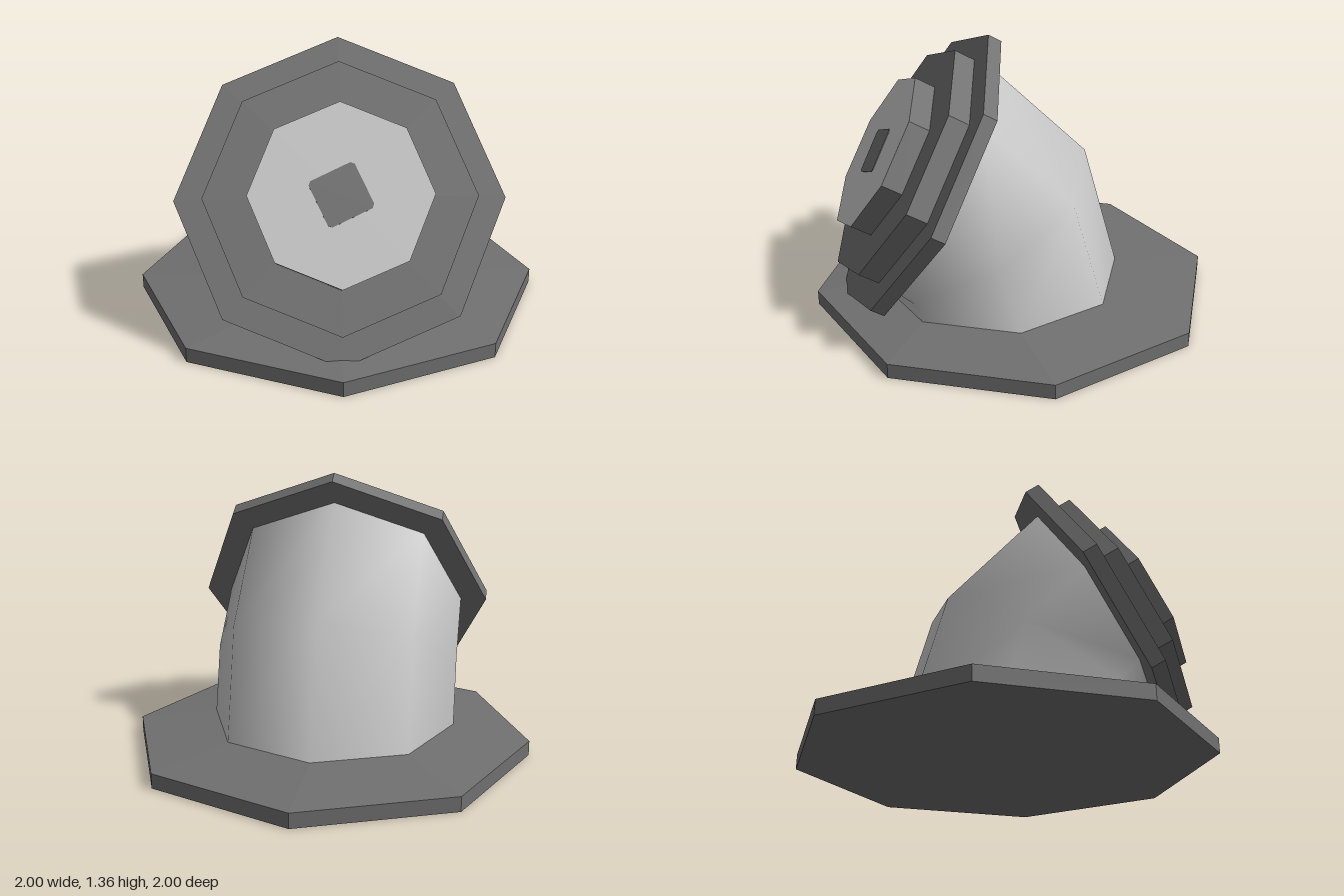
import * as THREE from 'three';

const SIDES = 8;

// Skin of octagonal rings, each { r, y, z, tilt }, from bottom to top
function loft(rings) {
  const pos = [], index = [];
  rings.forEach(({ r, y, z, tilt = 0 }, k) => {
    for (let i = 0; i < SIDES; i++) {
      const a = (i / SIDES) * Math.PI * 2, f = r * Math.cos(a);
      pos.push(r * Math.sin(a), y - f * Math.sin(tilt), z + f * Math.cos(tilt));
      if (k === 0) continue;
      const j = (i + 1) % SIDES, lo = (k - 1) * SIDES, hi = k * SIDES;
      index.push(lo + i, lo + j, hi + j, lo + i, hi + j, hi + i);
    }
  });
  const g = new THREE.BufferGeometry();
  g.setAttribute('position', new THREE.Float32BufferAttribute(pos, 3));
  g.setIndex(index);
  g.computeVertexNormals();
  return g;
}

// Facets with hard edges
function faceted(geometry) {
  const g = geometry.index ? geometry.toNonIndexed() : geometry;
  g.computeVertexNormals();
  return g;
}

export function createModel() {
  const dark = new THREE.MeshStandardMaterial({ color: 0x707070 });
  dark.name = 'darkGrey';
  const light = new THREE.MeshStandardMaterial({ color: 0xc8c8c8 });
  light.name = 'lightGrey';

  const model = new THREE.Group();
  model.name = 'angledPipeFitting';
  const add = (parent, name, geometry, material) => {
    const mesh = new THREE.Mesh(geometry, material);
    mesh.name = name;
    parent.add(mesh);
    return mesh;
  };

  // Base plate, rising slightly towards the pipe
  add(model, 'basePlate', faceted(loft([
    { r: 0, y: 0, z: 0 },
    { r: 1, y: 0, z: 0 },
    { r: 1, y: 0.073, z: 0 },
    { r: 0.62, y: 0.108, z: 0.08 },
    { r: 0, y: 0.108, z: 0.08 },
  ])), dark);

  // Elbow pipe bending forward
  const deg = Math.PI / 180;
  add(model, 'elbowPipe', loft([
    { r: 0.62, y: 0.107, z: 0.08 },
    { r: 0.62, y: 0.43, z: 0.177, tilt: 30 * deg },
    { r: 0.62, y: 0.678, z: 0.437, tilt: 60 * deg },
  ]), light);

  // Stepped head, local y pointing out of the pipe
  const head = new THREE.Group();
  head.name = 'head';
  head.position.set(0, 0.71, 0.495);
  head.rotation.x = 60 * deg;
  model.add(head);

  const disc = (name, r, bottom, top, material) => {
    const g = faceted(new THREE.CylinderGeometry(r, r, top - bottom, SIDES));
    add(head, name, g, material).position.y = (bottom + top) / 2;
  };
  disc('flange', 0.75, -0.07, 0, dark);
  disc('middleStep', 0.613, 0, 0.104, dark);
  disc('cap', 0.41, 0.104, 0.208, [dark, light, dark]);

  // Square mark with clipped corners on the cap
  const points = [];
  for (let i = 0; i < 4; i++) {
    for (const d of [-4, 4]) {
      const a = (70 + i * 90 + d) * deg;
      points.push(new THREE.Vector2(0.147 * Math.cos(a), 0.147 * Math.sin(a)));
    }
  }
  const plate = new THREE.ExtrudeGeometry(new THREE.Shape(points), { depth: 0.004, bevelEnabled: false });
  plate.rotateX(-Math.PI / 2);
  add(head, 'squareSocket', plate, dark).position.y = 0.207;

  return model;
}
